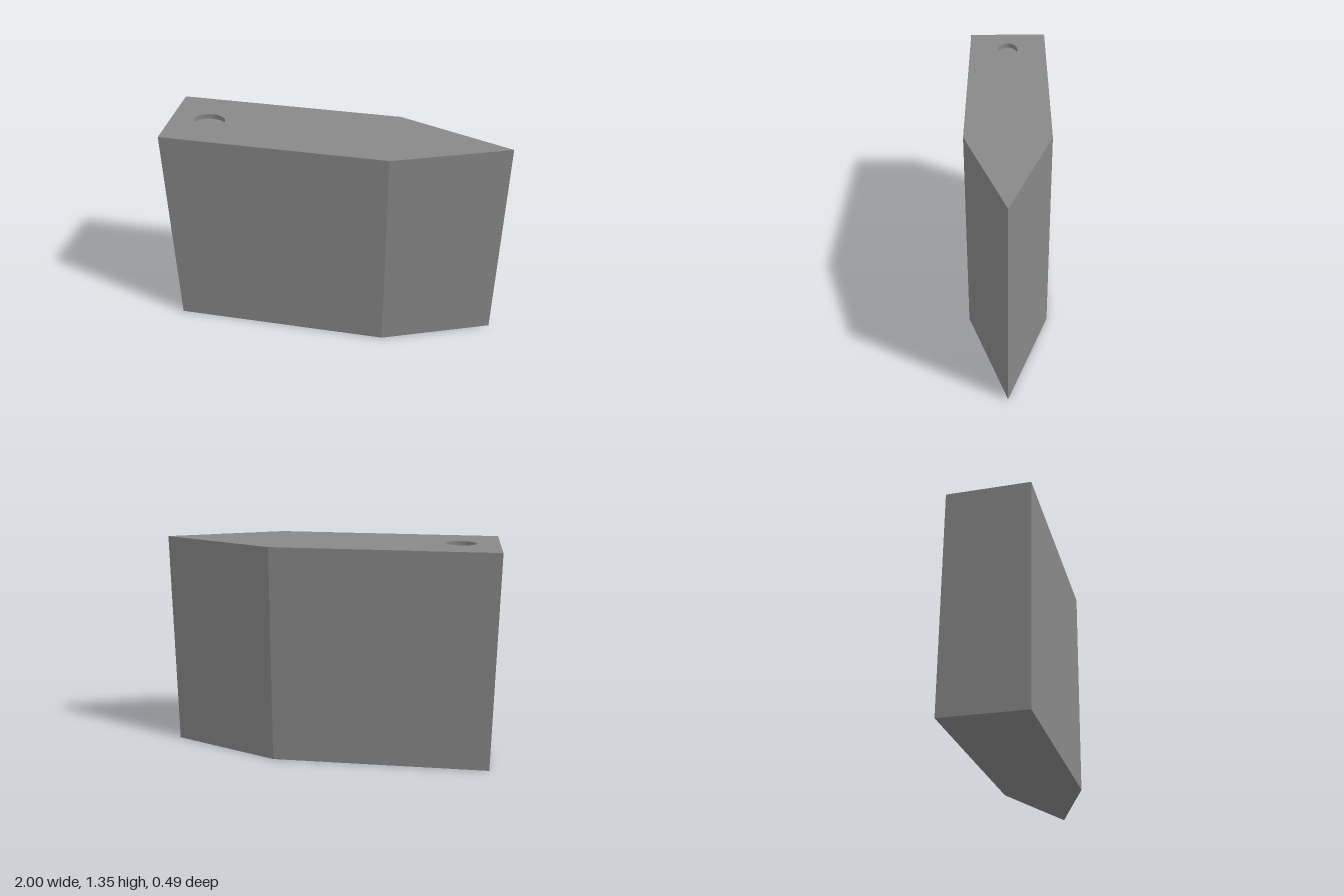
import * as THREE from 'three';

const HEIGHT = 1.345, HALF_DEPTH = 0.245, SHOULDER_X = 0.333;
const HOLE = { x: -0.77, rx: 0.093, rz: 0.0625, recess: 0.03 };

// Extrude a plan outline upward from y = 0
function extrudeUp(shape, height) {
  const geometry = new THREE.ExtrudeGeometry(shape, { depth: height, bevelEnabled: false, curveSegments: 64 });
  return geometry.rotateX(-Math.PI / 2);
}

export function createModel() {
  const group = new THREE.Group();
  const material = new THREE.MeshStandardMaterial({ color: 0x888888 });

  // Wedge-ended block with an oval hole near its blunt end
  const outline = new THREE.Shape([
    new THREE.Vector2(-1, -HALF_DEPTH),
    new THREE.Vector2(SHOULDER_X, -HALF_DEPTH),
    new THREE.Vector2(1, 0),
    new THREE.Vector2(SHOULDER_X, HALF_DEPTH),
    new THREE.Vector2(-1, HALF_DEPTH),
  ]);
  const hole = new THREE.Path();
  hole.absellipse(HOLE.x, 0, HOLE.rx, HOLE.rz, 0, Math.PI * 2, true);
  outline.holes.push(hole);
  const body = new THREE.Mesh(extrudeUp(outline, HEIGHT), material);
  body.name = 'wedgeBody';
  group.add(body);

  // Oval plug filling the hole up to a shallow recess below the top
  const oval = new THREE.Shape();
  oval.absellipse(HOLE.x, 0, HOLE.rx, HOLE.rz, 0, Math.PI * 2, false);
  const plug = new THREE.Mesh(extrudeUp(oval, HEIGHT - HOLE.recess), material);
  plug.name = 'ovalPlug';
  group.add(plug);

  return group;
}
